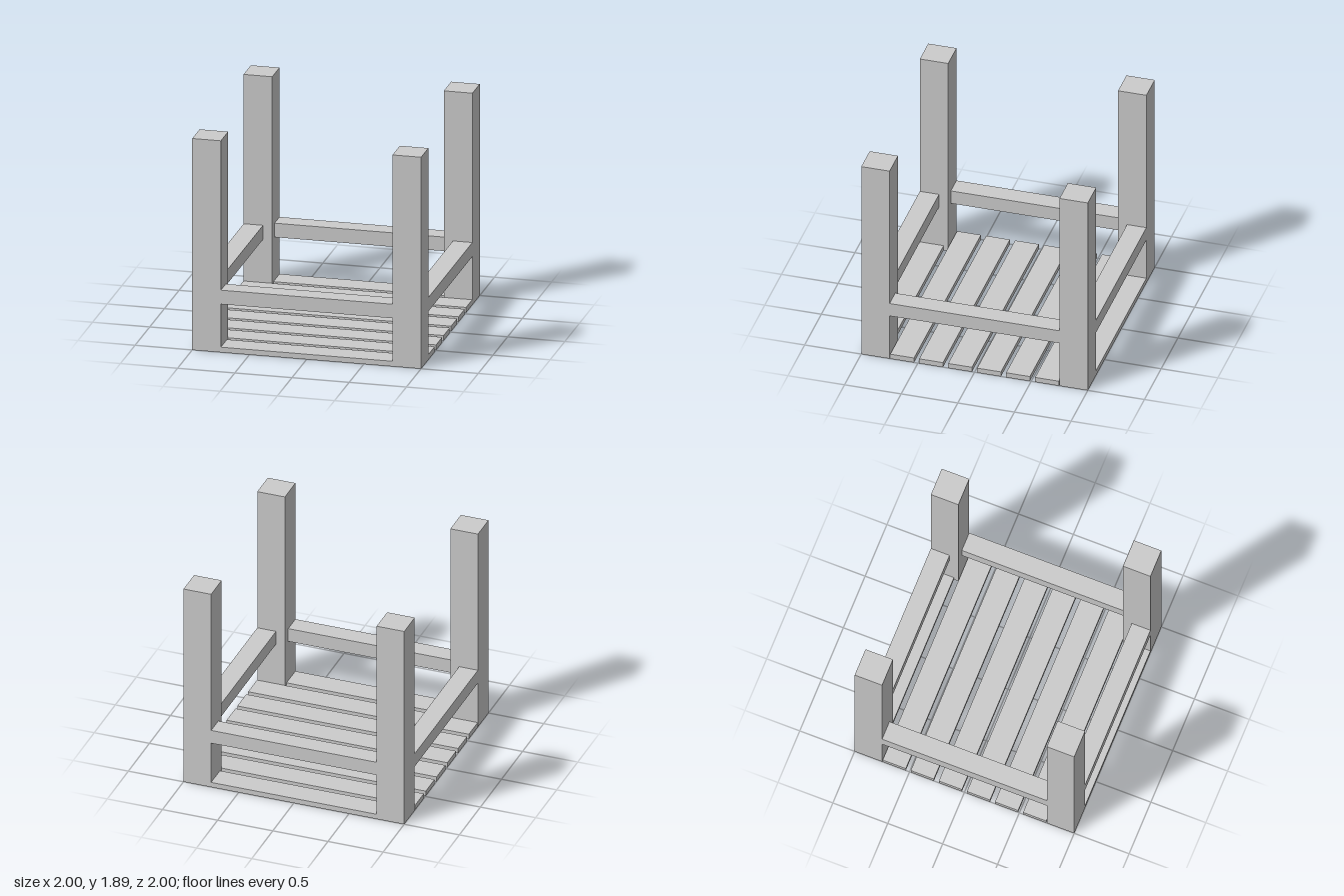
import * as THREE from 'three';

const material = new THREE.MeshStandardMaterial({ color: 0xcccccc, flatShading: true });

export function createModel() {
  const group = new THREE.Group();

  const addBox = (name, [w, h, d], [x, y, z]) => {
    const mesh = new THREE.Mesh(new THREE.BoxGeometry(w, h, d), material);
    mesh.name = name;
    mesh.position.set(x, y, z);
    group.add(mesh);
  };

  const leg = 0.25, height = 1.89;
  const span = 2 - 2 * leg;
  const railDepth = 0.17, railHeight = 0.125, railY = 0.493;
  const railOffset = 1 - railDepth / 2;

  // Square corner posts
  for (const x of [-1, 1]) {
    for (const z of [-1, 1]) {
      addBox('leg', [leg, height, leg], [x * (1 - leg / 2), height / 2, z * (1 - leg / 2)]);
    }
  }

  // Rails between the posts, flush with their outer faces
  for (const s of [-1, 1]) {
    addBox(s > 0 ? 'frontRail' : 'backRail', [span, railHeight, railDepth], [0, railY, s * railOffset]);
    addBox(s > 0 ? 'leftRail' : 'rightRail', [railDepth, railHeight, span], [s * railOffset, railY, 0]);
  }

  // Bottom slats; the outermost two fit between the posts
  const count = 8, slatWidth = 0.21, slatHeight = 0.046;
  const pitch = (2 - slatWidth) / (count - 1);
  for (let i = 0; i < count; i++) {
    const isEnd = i === 0 || i === count - 1;
    addBox('slat', [isEnd ? span : 2, slatHeight, slatWidth],
      [0, slatHeight / 2, -1 + slatWidth / 2 + i * pitch]);
  }

  return group;
}
